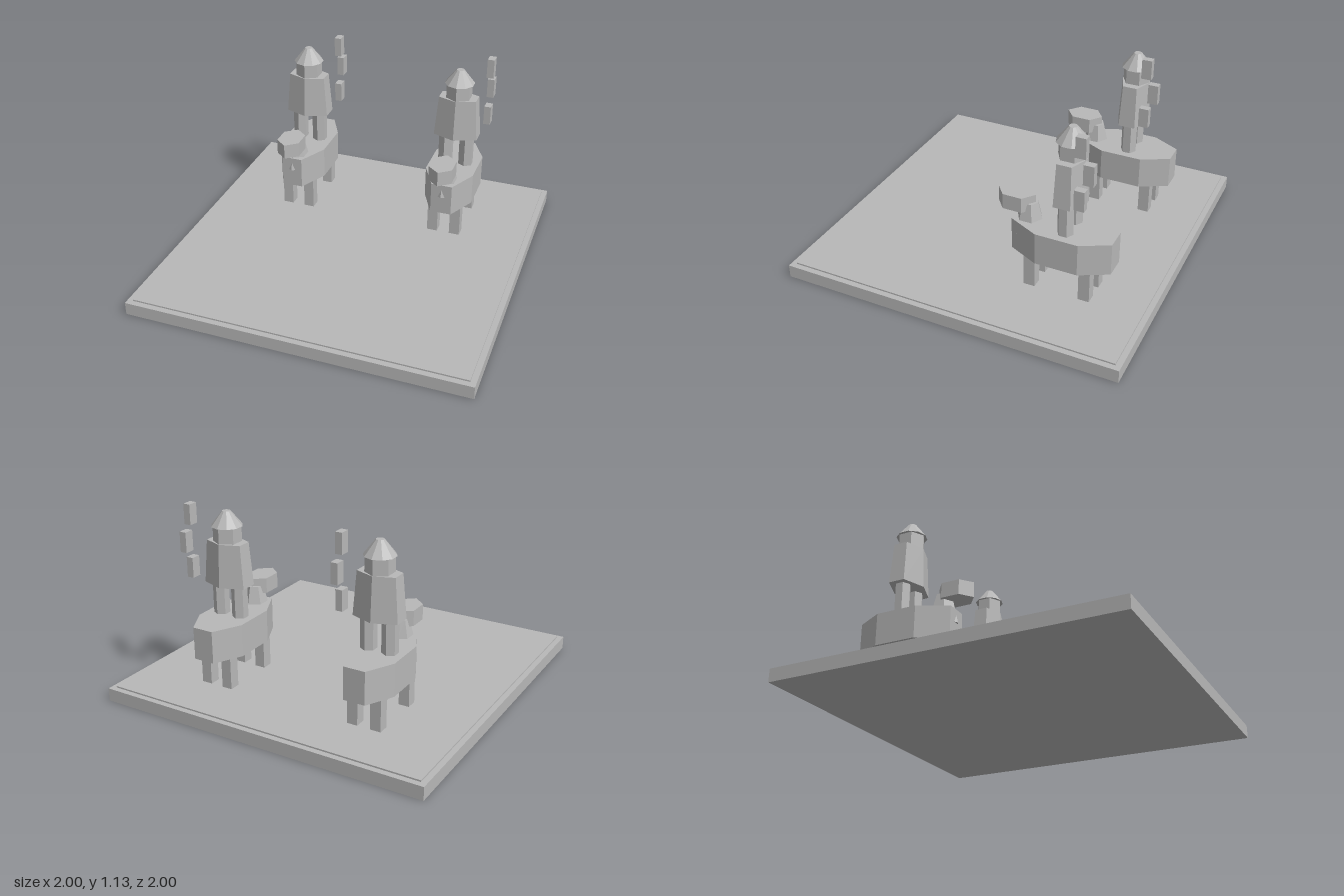
import * as THREE from 'three';

const stone = new THREE.MeshStandardMaterial({ color: 0xb8b8b8, flatShading: true });
stone.name = 'stone grey';

function part(parent, name, geometry, x, y, z) {
  const mesh = new THREE.Mesh(geometry, stone);
  mesh.name = name;
  mesh.position.set(x, y, z);
  parent.add(mesh);
  return mesh;
}

// Upright prism from a half outline of [x, z] points, mirrored across x
function prism(half, height) {
  const points = [...half, ...half.slice().reverse().map(([x, z]) => [-x, z])]
    .map(([x, z]) => new THREE.Vector2(x, -z));
  return new THREE.ExtrudeGeometry(new THREE.Shape(points), { depth: height, bevelEnabled: false })
    .rotateX(-Math.PI / 2);
}

function createRider() {
  const rider = new THREE.Group();
  rider.name = 'mountedRider';

  // Mount: eight-sided body, four legs, tapered neck and six-sided head
  part(rider, 'mountBody', prism([[0.063, -0.19], [0.147, -0.365], [0.147, -0.61], [0.063, -0.77]], 0.19), 0, 0.28, 0);
  for (const x of [-0.07, 0.07])
    for (const z of [-0.313, -0.635])
      part(rider, 'mountLeg', new THREE.BoxGeometry(0.063, 0.2, 0.065), x, 0.18, z);
  part(rider, 'mountNeck', new THREE.CylinderGeometry(0.048, 0.093, 0.18, 6), 0, 0.48, -0.271);
  part(rider, 'mountHead', prism([[0, -0.083], [0.07, -0.14], [0.07, -0.25], [0, -0.305]], 0.09), 0, 0.525, 0);

  // Rider: legs, flattened coat, head and conical hat
  for (const x of [-0.064, 0.064])
    part(rider, 'riderLeg', new THREE.CylinderGeometry(0.046, 0.046, 0.2, 6), x, 0.565, -0.506);
  part(rider, 'riderCoat', new THREE.CylinderGeometry(0.13, 0.153, 0.25, 6), 0, 0.785, -0.508).scale.z = 0.64;
  part(rider, 'riderHead', new THREE.CylinderGeometry(0.08, 0.08, 0.09, 6), 0, 0.955, -0.508);
  part(rider, 'riderHat', new THREE.CylinderGeometry(0.023, 0.09, 0.085, 10), 0, 1.0425, -0.508);

  // Staggered floating blocks beside the rider
  [[1.075, -0.622], [0.928, -0.668], [0.768, -0.622]].forEach(([y, z]) =>
    part(rider, 'floatingBlock', new THREE.BoxGeometry(0.041, 0.117, 0.058), 0.159, y, z));
  return rider;
}

export function createModel() {
  const model = new THREE.Group();
  model.name = 'ridersOnBoard';

  // Square board with a slightly raised inset panel
  part(model, 'board', new THREE.BoxGeometry(2, 0.077, 2), 0, 0.0385, 0);
  part(model, 'boardPanel', new THREE.BoxGeometry(1.935, 0.01, 1.935), 0, 0.081, 0);

  for (const x of [-0.482, 0.48]) {
    const rider = createRider();
    rider.position.x = x;
    model.add(rider);
  }
  return model;
}
